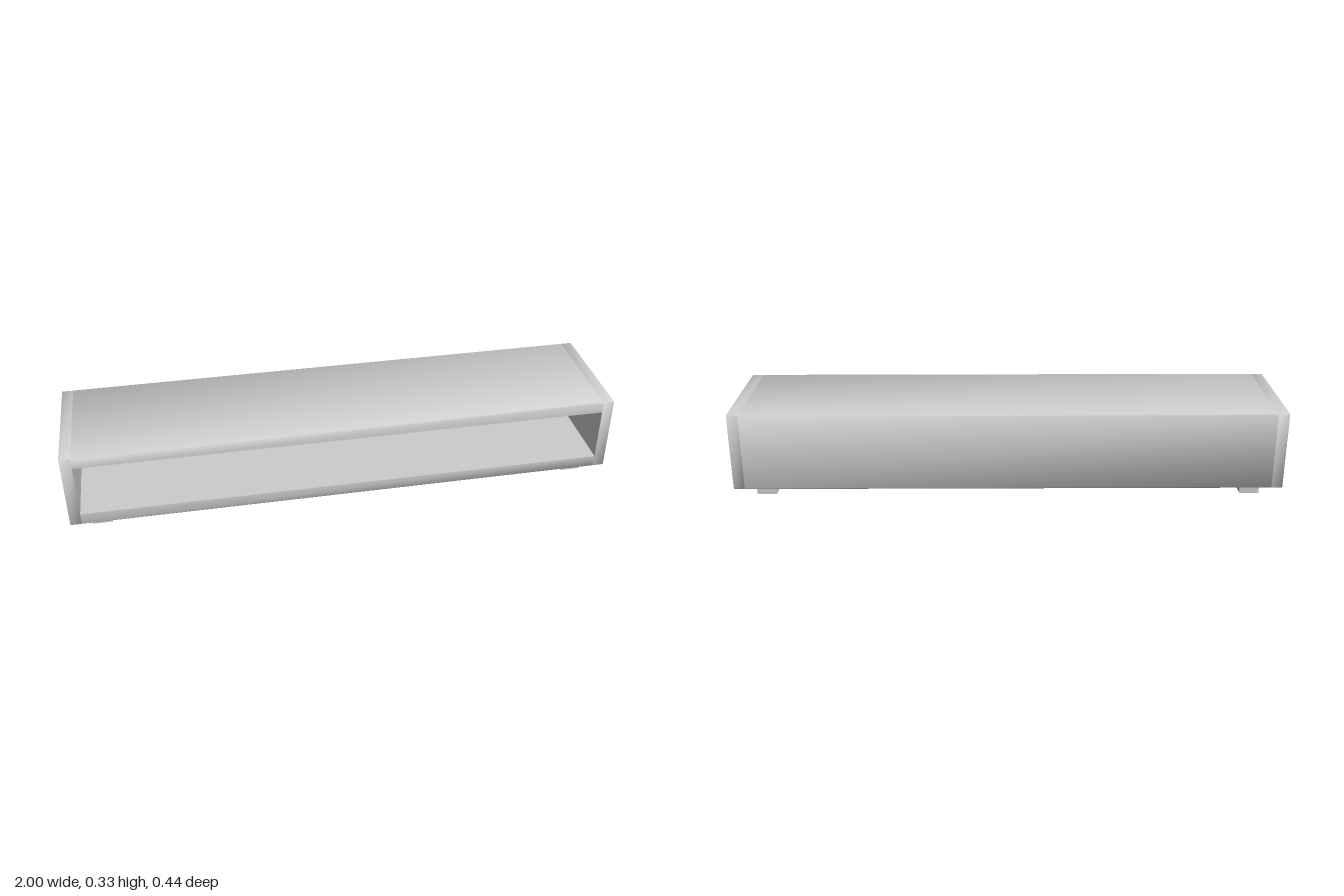
import * as THREE from 'three';
import { toCreasedNormals } from 'three/addons/utils/BufferGeometryUtils.js';

const material = new THREE.MeshStandardMaterial({ color: 0xcccccc });

const BOTTOM = 0.043, TOP = 0.333, HALF_DEPTH = 0.222; // outer case
const FLOOR = 0.09, CEILING = 0.29, NICHE_BACK = -0.07; // open niche
const INNER = 0.96; // half width of the niche
const BEVEL = 0.005;

// Side profile in (z, y): softened outer edges, with an optional niche cut in from the front
function sideProfile(withNiche) {
  const d = HALF_DEPTH, b = BEVEL;
  const points = [[d - b, TOP], [-d + b, TOP], [-d, TOP - b], [-d, BOTTOM + b], [-d + b, BOTTOM], [d - b, BOTTOM], [d, BOTTOM + b]];
  if (withNiche) points.push([d, FLOOR], [NICHE_BACK, FLOOR], [NICHE_BACK, CEILING], [d, CEILING]);
  points.push([d, TOP - b]);
  return new THREE.Shape(points.map(([z, y]) => new THREE.Vector2(z, y)));
}

// Sweep a side profile along x between two positions
function sweep(name, shape, x0, x1) {
  const geometry = new THREE.ExtrudeGeometry(shape, { depth: x1 - x0, bevelEnabled: false });
  geometry.rotateY(-Math.PI / 2).translate(x1, 0, 0);
  const mesh = new THREE.Mesh(toCreasedNormals(geometry, 0.9), material);
  mesh.name = name;
  return mesh;
}

export function createModel() {
  const group = new THREE.Group();
  group.name = 'lowMediaBench';

  // Case with open front niche, closed by a panel at each end
  group.add(sweep('caseShell', sideProfile(true), -INNER, INNER));
  group.add(sweep('leftEndPanel', sideProfile(false), INNER, 1));
  group.add(sweep('rightEndPanel', sideProfile(false), -1, -INNER));

  // Four block feet
  const footGeometry = new THREE.BoxGeometry(0.072, BOTTOM, 0.072);
  for (const x of [-0.893, 0.893]) {
    for (const z of [-0.135, 0.135]) {
      const foot = new THREE.Mesh(footGeometry, material);
      foot.name = `${z > 0 ? 'front' : 'back'}${x > 0 ? 'Left' : 'Right'}Foot`;
      foot.position.set(x, BOTTOM / 2, z);
      group.add(foot);
    }
  }
  return group;
}
